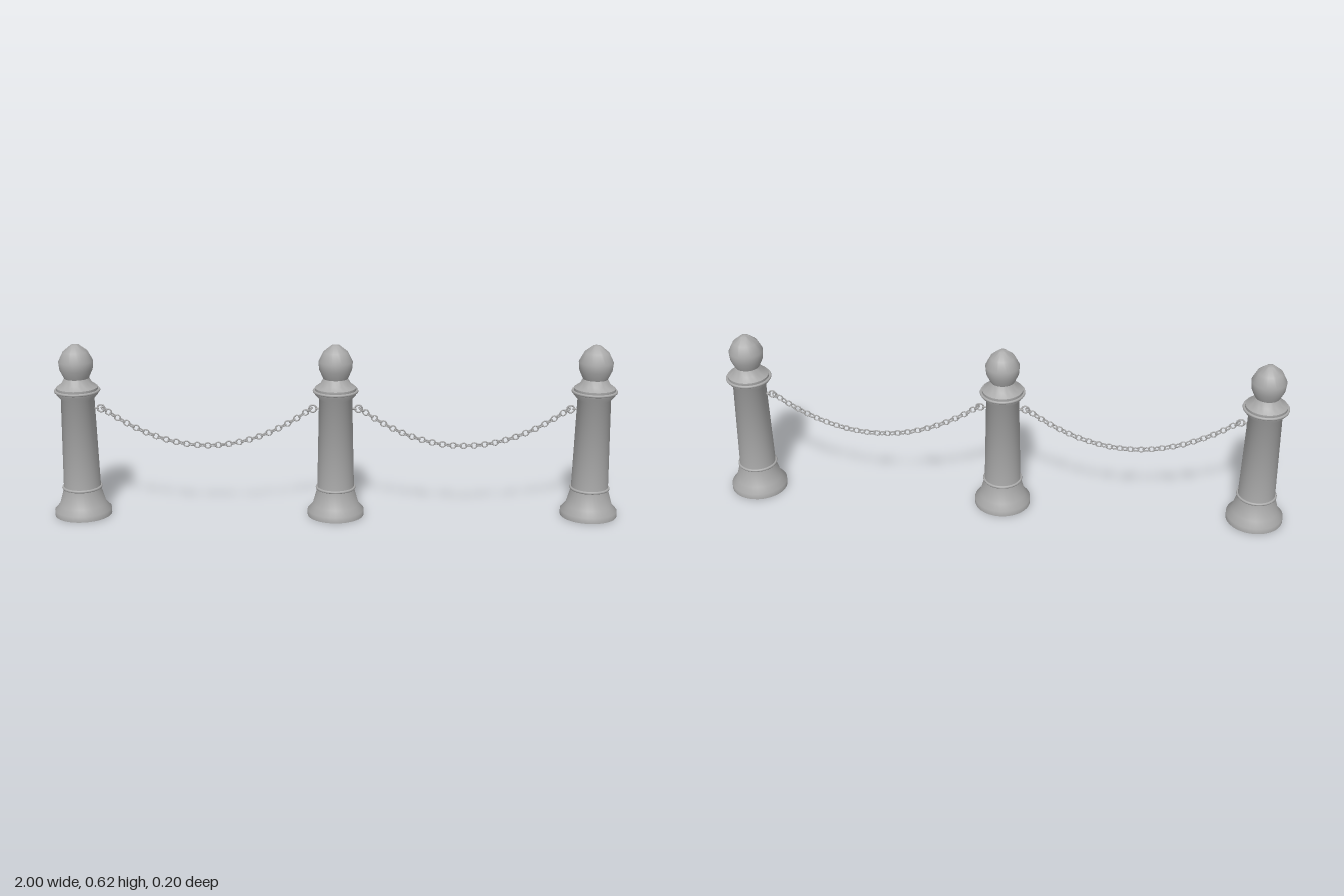
import * as THREE from 'three';
import { toCreasedNormals } from 'three/addons/utils/BufferGeometryUtils.js';

const SPACING = 0.9;

export function createModel() {
  const model = new THREE.Group();
  model.name = 'chainBarrier';
  const stone = new THREE.MeshStandardMaterial({ color: 0xaaaaaa });
  stone.name = 'grey metal';

  const add = (parent, name, geometry, x = 0, y = 0, z = 0) => {
    const mesh = new THREE.Mesh(geometry, stone);
    mesh.name = name;
    mesh.position.set(x, y, z);
    parent.add(mesh);
    return mesh;
  };

  // Shared geometry: turned post, its collars and the chain parts
  const profile = [
    [0, 0], [0.1, 0], [0.1, 0.02], [0.082, 0.04], [0.066, 0.096], [0.065, 0.108],
    [0.058, 0.427], [0.072, 0.443], [0.072, 0.467], [0.053, 0.481], [0.043, 0.5],
    [0.057, 0.53], [0.06, 0.56], [0.043, 0.594], [0.015, 0.617], [0, 0.62],
  ].map(([x, y]) => new THREE.Vector2(x, y));
  const postGeo = toCreasedNormals(new THREE.LatheGeometry(profile, 32), 0.9);
  const lowerCollarGeo = new THREE.TorusGeometry(0.066, 0.005, 8, 32).rotateX(Math.PI / 2);
  const upperCollarGeo = new THREE.TorusGeometry(0.075, 0.005, 8, 32).rotateX(Math.PI / 2);
  const eyeGeo = new THREE.TorusGeometry(0.013, 0.003, 6, 14);
  const stemGeo = new THREE.CylinderGeometry(0.004, 0.004, 0.025, 8).rotateZ(Math.PI / 2);
  const linkGeo = new THREE.TorusGeometry(0.0098, 0.0025, 6, 12).scale(1.1, 1, 1);

  // Three posts, with eyes only on the sides that hold a chain
  for (const i of [-1, 0, 1]) {
    const post = new THREE.Group();
    post.name = ['rightPost', 'middlePost', 'leftPost'][i + 1];
    post.position.x = i * SPACING;
    add(post, 'turnedPost', postGeo);
    add(post, 'lowerCollar', lowerCollarGeo, 0, 0.102);
    add(post, 'upperCollar', upperCollarGeo, 0, 0.455);
    for (const side of [-1, 1]) {
      if (side === i) continue;
      add(post, 'eyeStem', stemGeo, side * 0.06, 0.39);
      add(post, 'chainEye', eyeGeo, side * 0.08, 0.39);
    }
    model.add(post);
  }

  // Two sagging chains, with each link turned a quarter from the last
  for (const side of [-1, 1]) {
    const chain = new THREE.Group();
    chain.name = side < 0 ? 'rightChain' : 'leftChain';
    const points = [];
    for (let i = 0; i <= 16; i++) {
      const u = i / 8 - 1;
      points.push(new THREE.Vector3(side * SPACING / 2 + u * 0.36, 0.255 + 0.132 * u * u, 0));
    }
    const curve = new THREE.CatmullRomCurve3(points);
    const count = 42;
    for (let i = 0; i <= count; i++) {
      const p = curve.getPointAt(i / count);
      const t = curve.getTangentAt(i / count);
      const link = add(chain, 'link', linkGeo, p.x, p.y, p.z);
      link.rotation.order = 'ZYX';
      link.rotation.set(i % 2 ? 0 : Math.PI / 2, 0, Math.atan2(t.y, t.x));
    }
    model.add(chain);
  }
  return model;
}
